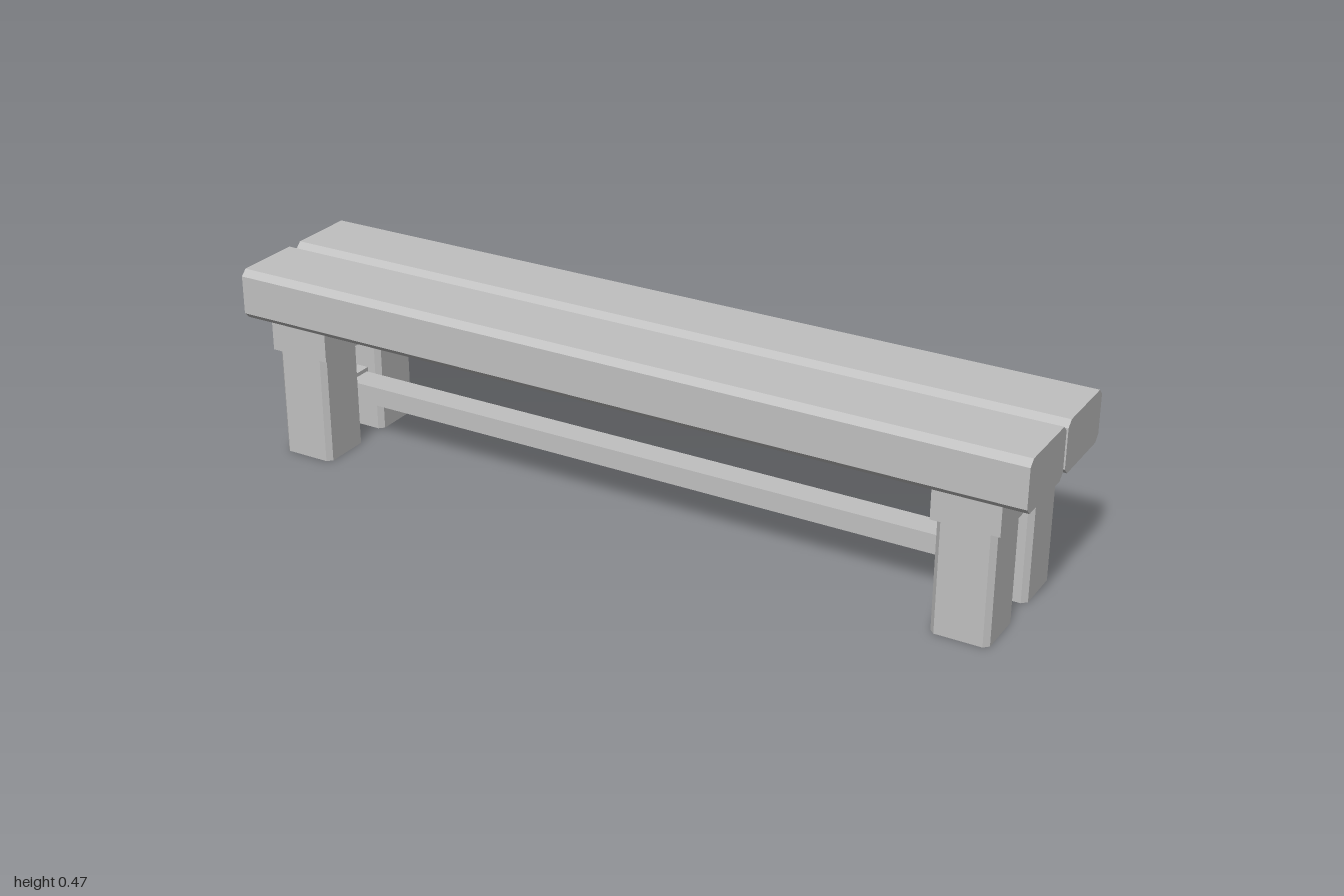
import * as THREE from 'three';

// Bar along z, centred, with chamfered long edges
function chamferedBar(w, h, length, c) {
  const x = w / 2, y = h / 2;
  const shape = new THREE.Shape([
    [-x + c, -y], [x - c, -y], [x, -y + c], [x, y - c],
    [x - c, y], [-x + c, y], [-x, y - c], [-x, -y + c],
  ].map(([a, b]) => new THREE.Vector2(a, b)));
  const geometry = new THREE.ExtrudeGeometry(shape, { depth: length, bevelEnabled: false });
  return geometry.translate(0, 0, -length / 2);
}

export function createModel() {
  const bench = new THREE.Group();
  bench.name = 'bench';
  const grey = new THREE.MeshStandardMaterial({ color: 0xc0c0c0 });
  grey.name = 'plain grey';

  const add = (name, geometry, x, y, z) => {
    const mesh = new THREE.Mesh(geometry, grey);
    mesh.name = name;
    mesh.position.set(x, y, z);
    bench.add(mesh);
  };

  // Two thick seat planks with a narrow gap between them
  const plank = chamferedBar(0.197, 0.125, 2, 0.015).rotateY(Math.PI / 2);
  add('frontSeatPlank', plank, 0, 0.408, 0.105);
  add('backSeatPlank', plank, 0, 0.408, -0.1035);

  // Leg frames at both ends
  const leg = chamferedBar(0.136, 0.136, 0.27, 0.012).rotateX(Math.PI / 2);
  const beam = new THREE.BoxGeometry(0.157, 0.0755, 0.356);
  const stretcher = new THREE.BoxGeometry(0.067, 0.068, 0.077);
  for (const [side, x] of [['left', 0.8605], ['right', -0.8605]]) {
    add(side + 'FrontLeg', leg, x, 0.135, 0.107);
    add(side + 'BackLeg', leg, x, 0.135, -0.1055);
    add(side + 'CrossBeam', beam, x, 0.30775, 0.001);
    add(side + 'Stretcher', stretcher, x, 0.13, 0.001);
  }

  // Long rail joining the two stretchers
  add('longRail', new THREE.BoxGeometry(1.66, 0.048, 0.068), 0, 0.13, 0.001);

  return bench;
}
